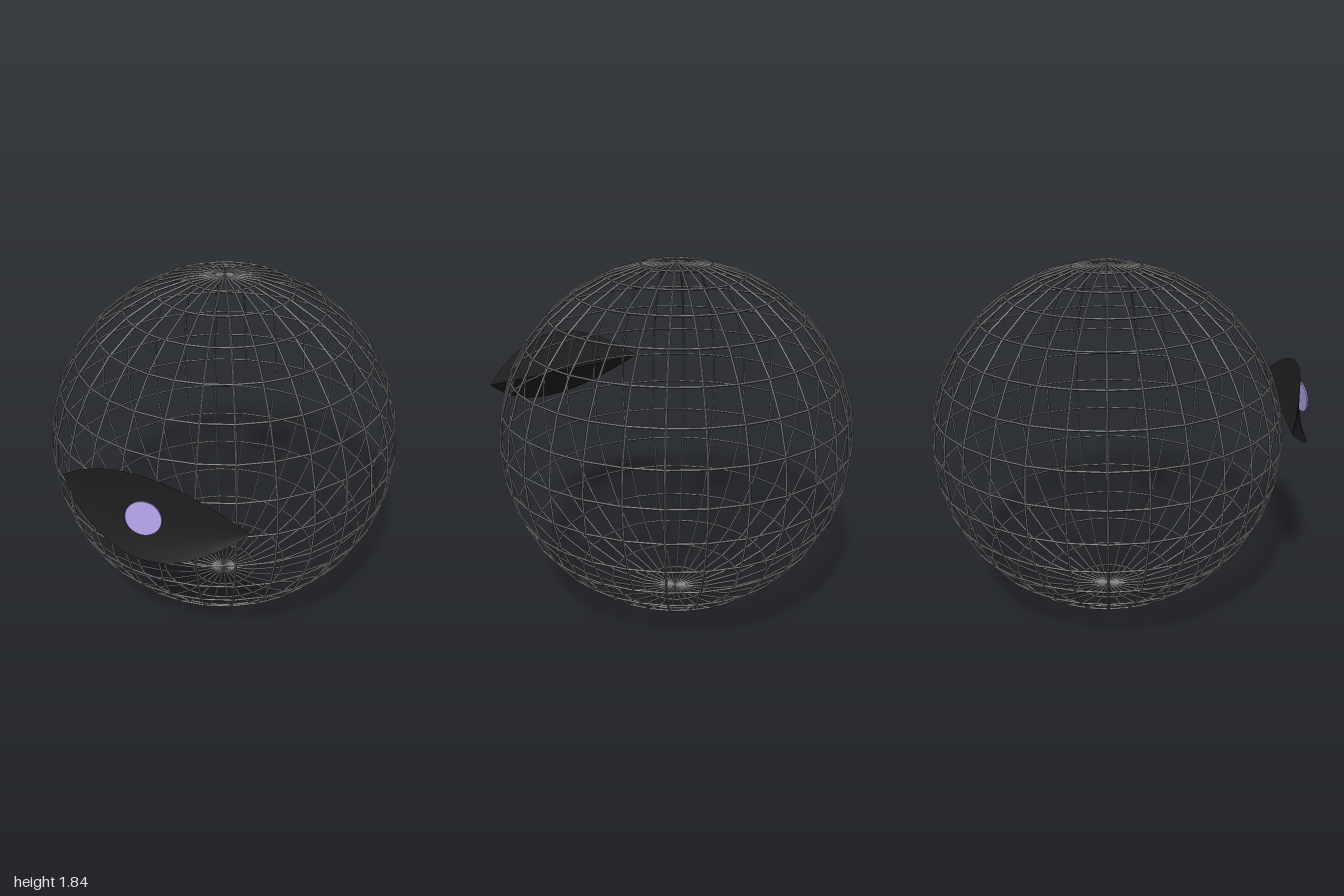
import * as THREE from 'three';

const R = 0.915, WIRE = 0.006, SEGMENTS = 30, RINGS = 16;
const UPPER = { height: 0.207, forward: 0.095 };
const LOWER = { height: -0.198, forward: 0.162 };

const wireMat = new THREE.MeshStandardMaterial({ color: 0x666666, flatShading: true });
const eyeMat = new THREE.MeshStandardMaterial({ color: 0x1e1e1e, side: THREE.DoubleSide });
const irisMat = new THREE.MeshStandardMaterial({ color: 0xb3a2e8 });

// Open wire globe of diamond-section bars: full meridian hoops and horizontal parallels
function wireGlobe() {
  const globe = new THREE.Group();
  globe.name = 'wireGlobe';
  const hoop = new THREE.TorusGeometry(R, WIRE, 4, RINGS * 2);
  for (let i = 0; i < SEGMENTS / 2; i++) {
    const m = new THREE.Mesh(hoop, wireMat);
    m.name = 'meridian';
    m.rotation.y = Math.PI / 2 + (i * 2 * Math.PI) / SEGMENTS;
    globe.add(m);
  }
  for (let j = 1; j < RINGS; j++) {
    const a = (j * Math.PI) / RINGS;
    const ring = new THREE.TorusGeometry(R * Math.sin(a), WIRE, 4, SEGMENTS);
    // half-step turn puts the corners on the meridians
    ring.rotateX(Math.PI / 2).rotateY(Math.PI / SEGMENTS);
    const m = new THREE.Mesh(ring, wireMat);
    m.name = 'parallel';
    m.position.y = R * Math.cos(a);
    globe.add(m);
  }
  globe.position.set(0, 0.921, -0.08);
  return globe;
}

// Almond-shaped sheet between the eye corners; rule(t) gives [height, forward] at
// mid-length for t = 0 (lower border) to 1 (upper border)
function almond(name, rule) {
  const geo = new THREE.PlaneGeometry(1, 1, 32, 8);
  const p = geo.attributes.position;
  for (let i = 0; i < p.count; i++) {
    const u = p.getX(i) * 2;
    const [height, forward] = rule(p.getY(i) + 0.5);
    const bulge = 1 - u * u;
    p.setXYZ(i, -0.007 + 0.493 * u, 1.073 + height * bulge, 0.836 + 0.063 * u + forward * bulge);
  }
  geo.computeVertexNormals();
  const mesh = new THREE.Mesh(geo, eyeMat);
  mesh.name = name;
  return mesh;
}

export function createModel() {
  const model = new THREE.Group();
  model.name = 'wireGlobeWithEye';
  model.add(wireGlobe());

  // Two back panels meet along the chord; a gently hollowed face closes the front
  const eye = new THREE.Group();
  eye.name = 'eye';
  eye.add(
    almond('upperBackPanel', t => [UPPER.height * t, UPPER.forward * t]),
    almond('lowerBackPanel', t => [LOWER.height * (1 - t), LOWER.forward * (1 - t)]),
    almond('frontFace', t => [
      THREE.MathUtils.lerp(LOWER.height, UPPER.height, t),
      THREE.MathUtils.lerp(UPPER.forward, LOWER.forward, (1 - t) ** 3),
    ]),
  );

  // Thin iris disc floating in front of the face
  const disc = new THREE.CylinderGeometry(0.084, 0.084, 0.008, 40).rotateX(Math.PI / 2);
  const iris = new THREE.Mesh(disc, irisMat);
  iris.name = 'iris';
  iris.position.set(0.012, 1.086, 0.97);
  iris.rotation.set(-0.12, 0.15, 0);
  eye.add(iris);

  model.add(eye);
  return model;
}
